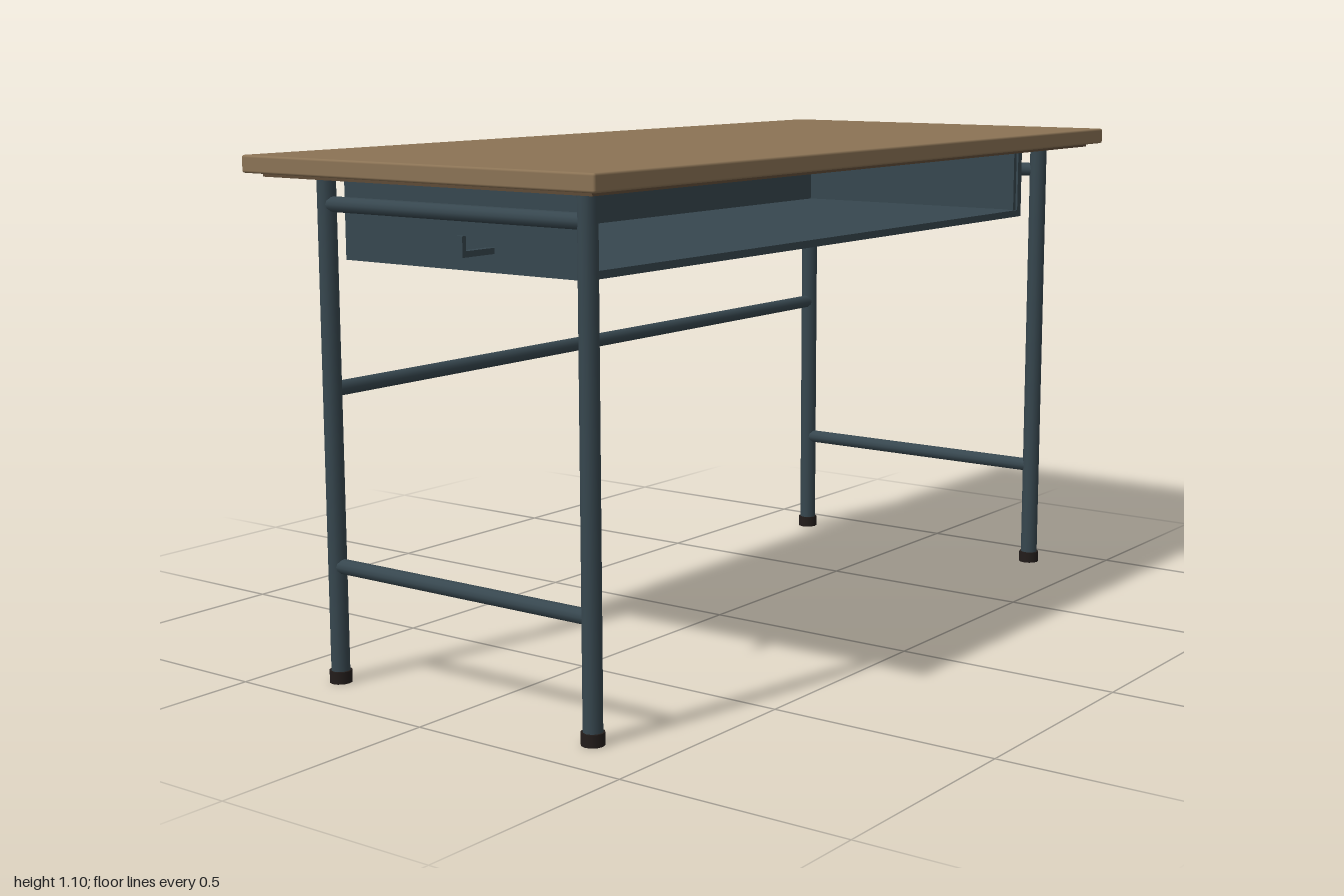
import * as THREE from 'three';
import { RoundedBoxGeometry } from 'three/addons/geometries/RoundedBoxGeometry.js';

const wood = new THREE.MeshStandardMaterial({ color: 0x8b7355 });
const underWood = new THREE.MeshStandardMaterial({ color: 0x5d4a37 });
const steel = new THREE.MeshStandardMaterial({ color: 0x37474f });
const rubber = new THREE.MeshStandardMaterial({ color: 0x231d1b });
wood.name = 'wood';
underWood.name = 'dark wood';
steel.name = 'painted steel';
rubber.name = 'rubber';

export function createModel() {
  const desk = new THREE.Group();
  desk.name = 'desk';

  const add = (name, geometry, material, x, y, z) => {
    const mesh = new THREE.Mesh(geometry, material);
    mesh.name = name;
    mesh.position.set(x, y, z);
    desk.add(mesh);
    return mesh;
  };
  // Box given by its lower and upper limits on each axis
  const box = (name, material, [x0, x1], [y0, y1], [z0, z1]) =>
    add(name, new THREE.BoxGeometry(x1 - x0, y1 - y0, z1 - z0), material,
      (x0 + x1) / 2, (y0 + y1) / 2, (z0 + z1) / 2);
  const rod = (name, material, radius, length, x, y, z) =>
    add(name, new THREE.CylinderGeometry(radius, radius, length, 12), material, x, y, z);

  // Tabletop with a thin backing board
  add('tabletop', new RoundedBoxGeometry(2, 0.036, 0.91, 2, 0.005), wood, 0, 1.082, 0);
  box('backingBoard', underWood, [-0.97, 0.97], [1.056, 1.065], [-0.425, 0.425]);

  // Tray, open at the front
  box('trayFloor', steel, [-0.85, 0.85], [0.885, 0.901], [-0.32, 0.31]);
  box('trayBack', steel, [-0.83, 0.83], [0.901, 1.056], [-0.32, -0.304]);

  for (const s of [-1, 1]) {
    const span = (a, b) => (s > 0 ? [a, b] : [-b, -a]);
    box('traySide', steel, span(0.832, 0.85), [0.901, 1.056], [-0.32, 0.31]);
    box('traySideLip', steel, span(0.82, 0.832), [0.901, 1.056], [0.29, 0.305]);

    // Legs and feet
    for (const z of [-0.34, 0.34]) {
      rod('leg', steel, 0.02, 1.04, s * 0.88, 0.536, z);
      rod('foot', rubber, 0.024, 0.026, s * 0.88, 0.013, z);
    }
    // Side rails
    for (const y of [0.25, 1.0]) {
      rod('sideRail', steel, 0.016, 0.68, s * 0.88, y, 0).rotation.x = Math.PI / 2;
    }
    // Bag hook
    box('hookArm', steel, span(0.845, 0.94), [0.922, 0.934], [0.067, 0.083]);
    box('hookTip', steel, span(0.93, 0.94), [0.934, 0.963], [0.067, 0.083]);
  }

  // Back rail
  rod('backRail', steel, 0.016, 1.76, 0, 0.62, -0.34).rotation.z = Math.PI / 2;

  return desk;
}
